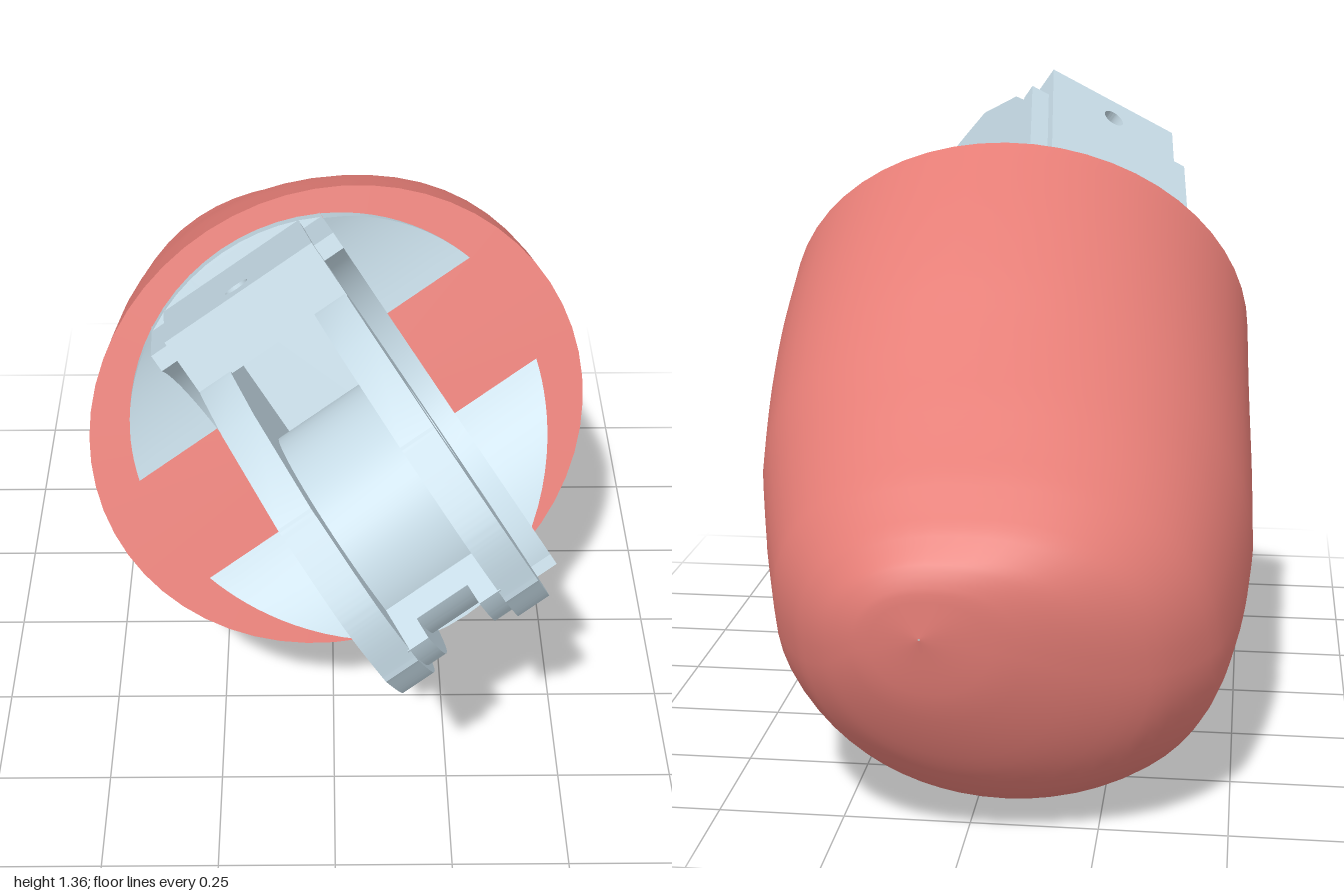
import * as THREE from 'three';
import { toCreasedNormals } from 'three/addons/utils/BufferGeometryUtils.js';

const V = (x, y, z) => new THREE.Vector3(x, y, z);
const red = new THREE.MeshStandardMaterial({ color: 0xe57d76 });
red.name = 'coral red';
const grey = new THREE.MeshStandardMaterial({ color: 0xc6dbe6 });
grey.name = 'pale steel grey';

const R = 0.437;      // radius of the joint base
const HINGE = 0.436;  // hinge distance in front of the rim plane

function add(group, name, geometry, material) {
  const mesh = new THREE.Mesh(geometry, material);
  mesh.name = name;
  group.add(mesh);
  return mesh;
}

// Shape drawn as (z, y), extruded sideways from x0 to x1
function extrudeX(shape, x0, x1) {
  const g = new THREE.ExtrudeGeometry(shape, { depth: x1 - x0, bevelEnabled: false, curveSegments: 24 });
  g.rotateY(-Math.PI / 2).translate(x1, 0, 0);
  return toCreasedNormals(g, 0.5);
}

function circleHole(x, y, r) {
  return new THREE.Path().absarc(x, y, r, 0, Math.PI * 2, true);
}

// Rounded shell: elliptical sections [centre, half width, half height], closing to a tip
const sections = [
  [0.01, 0.793, 0.22, 0.52, 0.005, -0.05, 0.01, 0.443, -0.214],
  [0, 0.68, 0, 0.518, 0.005, -0.045, 0.02, 0.453, -0.2],
  [-0.016, 0.583, -0.195, 0.511, 0.005, -0.04, 0.035, 0.448, -0.175],
  [-0.032, 0.49, -0.375, 0.5, 0.005, -0.03, 0.045, 0.438, -0.145],
  [-0.045, 0.42, -0.55, 0.47, 0, -0.02, 0.04, 0.415, -0.115],
  [-0.05, 0.366, -0.725, 0.425, 0, -0.01, 0.03, 0.363, -0.105],
  [-0.035, 0.362, -0.855, 0.34, 0, 0, 0.02, 0.292, -0.075],
  [0, 0.385, -0.93, 0.24, 0, 0, 0.01, 0.215, -0.05],
  [0.035, 0.435, -0.98, 0.135, 0, 0, 0, 0.115, -0.018],
  [0.055, 0.465, -1, 0.002, 0, 0, 0, 0.002, 0],
];

function buildShell(group) {
  const curve = k => new THREE.CatmullRomCurve3(sections.map(s => V(s[k], s[k + 1], s[k + 2])));
  const centre = curve(0), side = curve(3), up = curve(6);
  const rows = 45, n = 56, pos = [], idx = [];
  for (let j = 0; j <= rows; j++) {
    const c = centre.getPoint(j / rows), u = side.getPoint(j / rows), v = up.getPoint(j / rows);
    // The upper half grows squarer towards the tip
    const power = 1 - 0.16 * Math.min(1, j / rows * 2);
    for (let i = 0; i < n; i++) {
      const a = i / n * Math.PI * 2;
      const p = Math.sin(a) > 0 ? power : 1;
      const ca = Math.sign(Math.cos(a)) * Math.abs(Math.cos(a)) ** p;
      const sa = Math.sign(Math.sin(a)) * Math.abs(Math.sin(a)) ** p;
      pos.push(...c.clone().addScaledVector(u, ca).addScaledVector(v, sa).toArray());
      if (j < rows) {
        const q = j * n + i, r = j * n + (i + 1) % n;
        idx.push(q, q + n, r, r, q + n, r + n);
      }
    }
  }
  const skin = new THREE.BufferGeometry();
  skin.setAttribute('position', new THREE.Float32BufferAttribute(pos, 3));
  skin.setIndex(idx);
  skin.computeVertexNormals();
  add(group, 'shell', skin, red);

  // Flat front face
  const capIdx = [];
  for (let i = 0; i < n; i++) capIdx.push(n, i, (i + 1) % n);
  const cap = new THREE.BufferGeometry();
  cap.setAttribute('position', new THREE.Float32BufferAttribute(
    [...pos.slice(0, n * 3), ...centre.getPoint(0).toArray()], 3));
  cap.setIndex(capIdx);
  cap.computeVertexNormals();
  add(group, 'shellFrontFace', cap, red);
}

// Corner of the base: cylinder outside, hollowed around the hinge axis
function cornerGeometry(sx, sy) {
  const rows = 12, cols = 4, w = cols + 2, pos = [], idx = [];
  const rise = sy > 0 ? 0.42 : 0.8;
  for (let j = 0; j <= rows; j++) {
    const y = 0.13 + (0.383 - 0.13) * j / rows;
    const xo = Math.sqrt(R * R - y * y);
    const h = rise * (HINGE - Math.sqrt(0.455 ** 2 - y * y)) + 0.003;
    for (let i = 0; i < w; i++) {
      const x = 0.2 + (xo - 0.2) * Math.min(i / cols, 1);
      pos.push(sx * x, sy * y, i > cols ? 0 : h);
      if (j < rows && i < w - 1) {
        const a = j * w + i, b = a + 1, c = a + w, d = c + 1;
        if (sx * sy > 0) idx.push(a, b, c, b, d, c);
        else idx.push(a, c, b, b, c, d);
      }
    }
  }
  const g = new THREE.BufferGeometry();
  g.setAttribute('position', new THREE.Float32BufferAttribute(pos, 3));
  g.setIndex(idx);
  return toCreasedNormals(g, 0.6);
}

// Strip of the base disc between two heights, extruded forward
function baseStrip(halfWidth, y0, y1, depth) {
  const pts = [];
  for (let i = 0; i <= 10; i++) {
    const x = -halfWidth + 2 * halfWidth * i / 10;
    pts.push(new THREE.Vector2(x, Math.max(y0, -Math.sqrt(R * R - x * x))));
  }
  for (let i = 10; i >= 0; i--) {
    const x = -halfWidth + 2 * halfWidth * i / 10;
    pts.push(new THREE.Vector2(x, Math.min(y1, Math.sqrt(R * R - x * x))));
  }
  return toCreasedNormals(
    new THREE.ExtrudeGeometry(new THREE.Shape(pts), { depth, bevelEnabled: false }), 0.5);
}

// Outer side wall with a round clearance for the cheek
function wallShape(reach) {
  const dz = reach - HINGE, clear = 0.365;
  const wall = new THREE.Shape();
  wall.moveTo(0, -0.388);
  wall.lineTo(reach, -0.388);
  wall.absarc(HINGE, 0, clear, Math.atan2(-Math.sqrt(clear * clear - dz * dz), dz),
    Math.atan2(0.349, -0.106), true);
  wall.lineTo(0.33, 0.385);
  wall.lineTo(0, 0.385);
  return wall;
}

// Ring sector below the hinge
function sectorShape(radius) {
  const sector = new THREE.Shape();
  sector.absarc(0, 0, radius, -1.95, -0.75, false);
  sector.absarc(0, 0, 0.2, -0.75, -1.95, true);
  return sector;
}

function buildJoint(group) {
  add(group, 'jointBase', baseStrip(0.209, -1, 1, 0.06), grey);
  add(group, 'lowerShelf', baseStrip(0.209, -1, -0.35, 0.23), grey);

  // Hinge cheek outline around the hinge
  const cheek = new THREE.Shape();
  cheek.moveTo(-0.42, 0.3);
  cheek.lineTo(-0.42, -0.37);
  cheek.lineTo(-0.2, -0.37);
  cheek.splineThru([[0, -0.395], [0.13, -0.375], [0.262, -0.29]].map(p => new THREE.Vector2(...p)));
  cheek.splineThru([[0.315, -0.14], [0.27, 0.06]].map(p => new THREE.Vector2(...p)));
  cheek.lineTo(0.115, 0.225);
  cheek.lineTo(0, 0.288);
  cheek.lineTo(-0.12, 0.3);
  cheek.holes.push(circleHole(0, 0, 0.096));

  for (const s of [-1, 1]) {
    const name = s > 0 ? 'left' : 'right';
    const span = (a, b) => (s > 0 ? [a, b] : [-b, -a]);
    add(group, name + 'Cheek', extrudeX(cheek, ...span(0.095, 0.165)), grey).position.z = HINGE;
    add(group, name + 'SideWall', extrudeX(wallShape(s > 0 ? 0.41 : 0.3), ...span(0.16, 0.21)), grey);
    add(group, name + 'CordGuide', extrudeX(sectorShape(0.38), ...span(0.055, 0.1)), grey).position.z = HINGE;
    for (const t of [-1, 1])
      add(group, name + (t > 0 ? 'Upper' : 'Lower') + 'Corner', cornerGeometry(s, t), grey);
  }

  // Hub between the cheeks, with the floor of the cord groove under it
  const hub = new THREE.Shape().absarc(0, -0.1, 0.23, 0, Math.PI * 2, false);
  hub.holes.push(circleHole(0, 0, 0.096));
  add(group, 'hub', extrudeX(hub, -0.1, 0.1), grey).position.z = HINGE;
  add(group, 'cordGrooveFloor', extrudeX(sectorShape(0.335), -0.06, 0.06), grey).position.z = HINGE;

  // Upper stop block with a pin hole
  const block = new THREE.Shape();
  block.moveTo(-0.166, 0);
  block.lineTo(0.166, 0);
  block.lineTo(0.166, 0.415);
  block.lineTo(-0.166, 0.415);
  block.holes.push(circleHole(0, 0.34, 0.025));
  const bg = new THREE.ExtrudeGeometry(block, { depth: 0.12, bevelEnabled: false });
  bg.rotateX(Math.PI / 2).translate(0, 0.405, 0);
  add(group, 'stopBlock', toCreasedNormals(bg, 0.5), grey);
}

export function createModel() {
  const model = new THREE.Group();
  model.name = 'fingertip';
  buildShell(model);

  // Joint stands on the tilted front face, rolled about its normal
  const joint = new THREE.Group();
  joint.name = 'hingeJoint';
  const z = V(0.08, 0.433, 0.9).normalize();
  const y = z.clone().cross(V(0.83, 0.47, -0.3)).normalize();
  const x = y.clone().cross(z);
  joint.quaternion.setFromRotationMatrix(new THREE.Matrix4().makeBasis(x, y, z));
  joint.position.set(0.01, 0.793, 0.22);
  buildJoint(joint);
  model.add(joint);
  return model;
}
